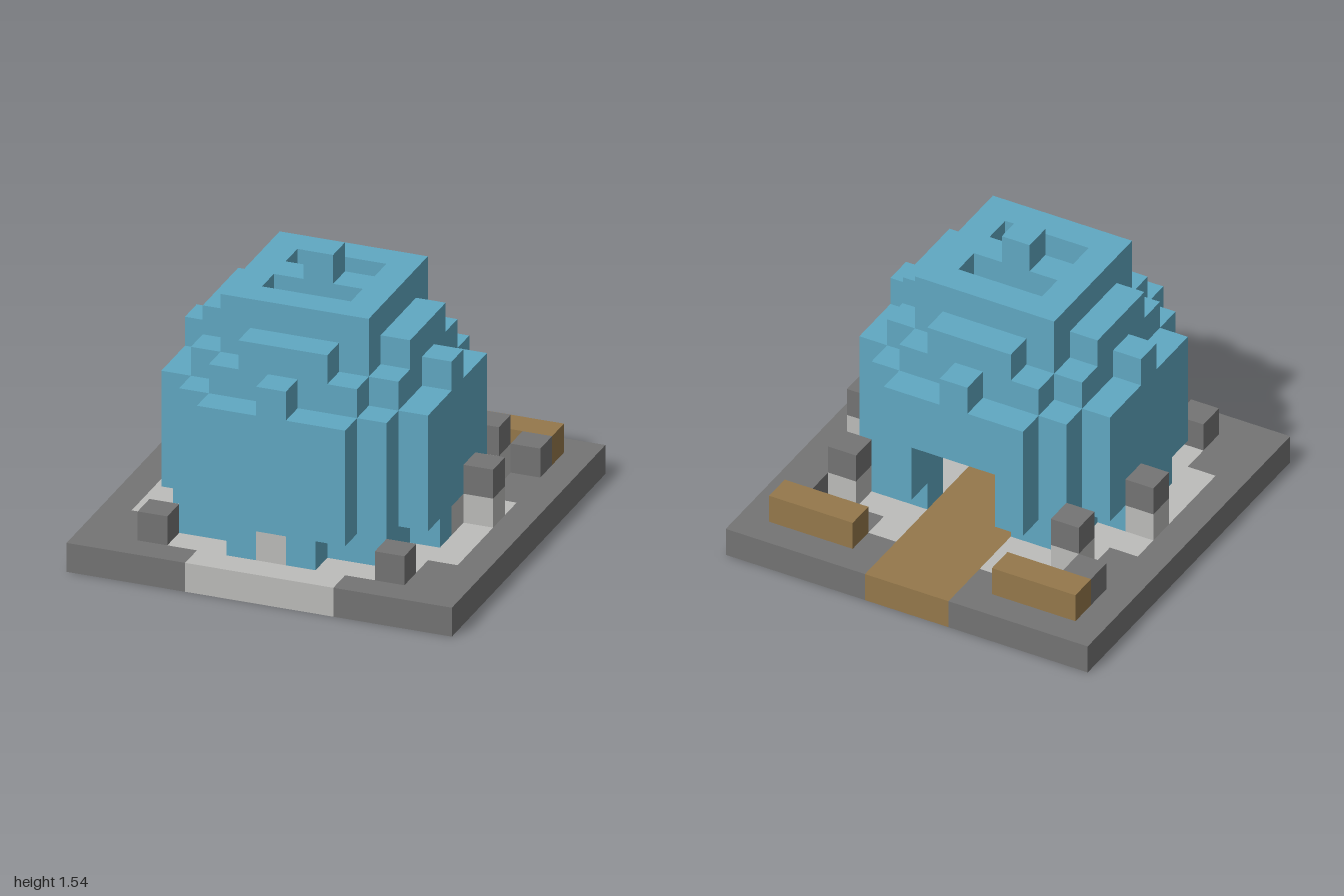
import * as THREE from 'three';

const N = 13, S = 2 / N, H = 6; // cells per side, cell size, half range

const paint = (name, hex) => {
  const m = new THREE.MeshStandardMaterial({ color: hex });
  m.name = name;
  return m;
};

// Six cube faces: outward direction and its two in-plane axes (u x v = n)
const FACES = [
  [[1, 0, 0], [0, 1, 0], [0, 0, 1]], [[-1, 0, 0], [0, 0, 1], [0, 1, 0]],
  [[0, 1, 0], [0, 0, 1], [1, 0, 0]], [[0, -1, 0], [1, 0, 0], [0, 0, 1]],
  [[0, 0, 1], [1, 0, 0], [0, 1, 0]], [[0, 0, -1], [0, 1, 0], [1, 0, 0]],
];

export function createModel() {
  const mats = {
    ice: paint('iceBlue', 0x60a8c2),
    dark: paint('darkStone', 0x747474),
    light: paint('paleStone', 0xbcbcba),
    wood: paint('wood', 0x95784b),
    green: paint('leafGreen', 0x3a712e),
  };
  const cells = new Map();
  const key = (x, y, z) => `${x},${y},${z}`;
  const put = (part, mat, x, y, z) => cells.set(key(x, y, z), { part, mat, p: [x, y, z] });
  const fill = (part, mat, [x0, x1], [y0, y1], [z0, z1]) => {
    for (let x = x0; x <= x1; x++)
      for (let y = y0; y <= y1; y++)
        for (let z = z0; z <= z1; z++) put(part, mat, x, y, z);
  };

  // Base slab with a round pale floor centred on the dome (z = 1)
  fill('baseSlab', 'dark', [-H, H], [0, 0], [-H, H]);
  const discHalf = [5, 5, 5, 4, 3, 2];
  for (let w = -5; w <= 5; w++) {
    const h = discHalf[Math.abs(w)];
    fill('floorDisc', 'light', [-h, h], [0, 0], [w + 1, w + 1]);
  }
  fill('path', 'wood', [-1, 1], [0, 0], [-H, 1]);
  for (const [x, z] of [[-2, 2], [-2, 3], [-3, 1], [-3, 2]]) put('floorInlay', 'ice', x, 0, z);

  // Dome shell: [outer r squared, hollow r squared] for each layer
  const layers = [[18, 10], [20, 10], [20, 10], [20, 10], [20, 10], [16, 8], [10, 5], [8, -1], [0, -1]];
  layers.forEach(([outer, hollow], i) => {
    const y = i + 1;
    for (let u = -4; u <= 4; u++)
      for (let w = -4; w <= 4; w++) {
        const r = u * u + w * w;
        if (r > outer || r <= hollow) continue;
        if (y === 8 && Math.abs(u) <= 1 && Math.abs(w) === 1) continue; // roof slots
        if (y <= 3 && Math.abs(u) <= 1 && w < 0) continue; // doorway
        put('dome', 'ice', u, y, w + 1);
      }
  });

  // Pale blocks set into the foot of the dome
  for (const [x, z] of [[0, 5], [4, 1], [-4, 1]]) put('footBlock', 'light', x, 1, z);

  // Planting inside
  fill('innerPlanter', 'green', [-1, 1], [1, 1], [2, 2]);

  // Yard posts and benches, mirrored
  for (const s of [-1, 1]) {
    for (const [x, z] of [[5, 0], [4, -3]]) {
      put('postFoot', 'light', s * x, 1, z);
      put('postCap', 'dark', s * x, 2, z);
    }
    for (const [x, z] of [[4, 5], [5, -4]]) {
      put('lowPost', 'dark', s * x, 1, z);
      put('postRoot', 'green', s * x, 0, z);
    }
    for (let x = 3; x <= 5; x++) put('bench', 'wood', s * x, 1, -5);
  }

  // Build one mesh per part from its exposed cell faces
  const parts = new Map();
  for (const { part, mat, p } of cells.values()) {
    if (!parts.has(part)) parts.set(part, { mat, pos: [], nor: [] });
    const out = parts.get(part);
    for (const [n, u, v] of FACES) {
      if (cells.has(key(p[0] + n[0], p[1] + n[1], p[2] + n[2]))) continue;
      const corner = (a, b) => p.map((c, k) =>
        (c + (k === 1 ? 0.5 : 0) + (n[k] + a * u[k] + b * v[k]) / 2) * S);
      const [A, B, C, D] = [corner(-1, -1), corner(1, -1), corner(1, 1), corner(-1, 1)];
      out.pos.push(...A, ...B, ...C, ...A, ...C, ...D);
      for (let k = 0; k < 6; k++) out.nor.push(...n);
    }
  }
  const group = new THREE.Group();
  group.name = 'domeHouse';
  for (const [name, { mat, pos, nor }] of parts) {
    if (!pos.length) continue;
    const g = new THREE.BufferGeometry();
    g.setAttribute('position', new THREE.Float32BufferAttribute(pos, 3));
    g.setAttribute('normal', new THREE.Float32BufferAttribute(nor, 3));
    const mesh = new THREE.Mesh(g, mats[mat]);
    mesh.name = name;
    group.add(mesh);
  }
  return group;
}
